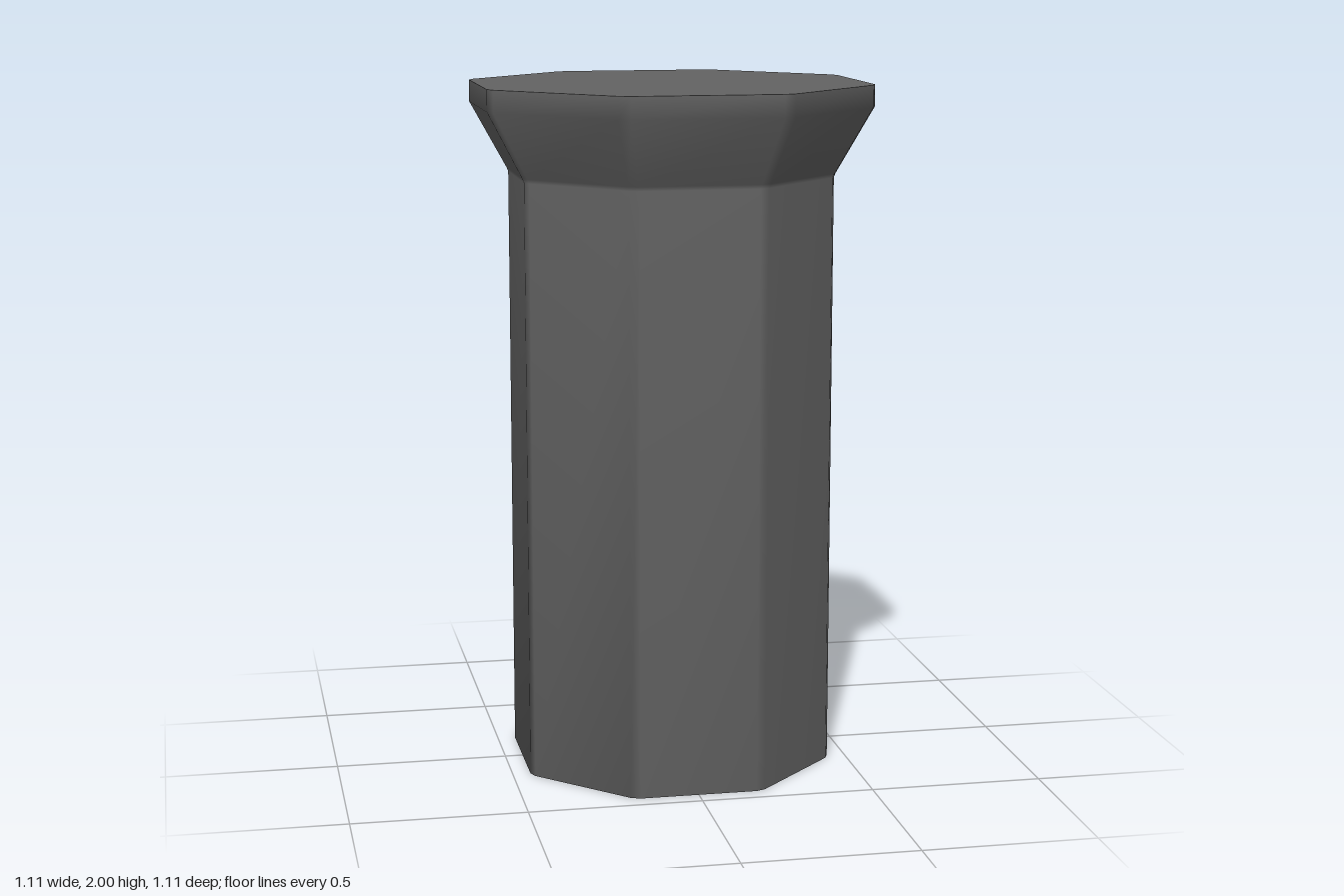
import * as THREE from 'three';

const SIDES = 8;
const HALF_FACET = 0.38; // half facet width per unit of apothem; the rest is the corner bevel

// Octagonal ring with bevelled corners, counter-clockwise from above
function ring(apothem, y) {
  const points = [];
  for (let k = 0; k < SIDES; k++) {
    const a = (k / SIDES) * Math.PI * 2;
    for (const t of [-HALF_FACET, HALF_FACET]) {
      const x = Math.cos(a) - t * Math.sin(a);
      const z = -(Math.sin(a) + t * Math.cos(a));
      points.push(x * apothem, y, z * apothem);
    }
  }
  return points;
}

// Skin a stack of [apothem, y] rings: smooth sides and base, sharp-edged flat top
function loft(profile) {
  const n = SIDES * 2;
  const positions = profile.flatMap(([r, y]) => ring(r, y));
  positions.push(...ring(...profile.at(-1))); // separate top ring keeps its edge sharp
  const index = [];
  for (let j = 0; j < profile.length - 1; j++) {
    for (let i = 0; i < n; i++) {
      const a = j * n + i;
      const b = j * n + ((i + 1) % n);
      index.push(a, b, b + n, a, b + n, a + n);
    }
  }
  const top = profile.length * n;
  for (let i = 1; i < n - 1; i++) {
    index.push(0, i + 1, i);
    index.push(top, top + i, top + i + 1);
  }
  const geometry = new THREE.BufferGeometry();
  geometry.setAttribute('position', new THREE.Float32BufferAttribute(positions, 3));
  geometry.setIndex(index);
  geometry.computeVertexNormals();
  return geometry;
}

export function createModel() {
  const group = new THREE.Group();
  group.name = 'octagonalPillar';
  const material = new THREE.MeshStandardMaterial({ color: 0x636363 });

  // Straight shaft flowing into a flared cap with a short upright rim
  const pillar = new THREE.Mesh(loft([
    [0.448, 0],
    [0.448, 1.735],
    [0.453, 1.747],
    [0.555, 1.937],
    [0.555, 2],
  ]), material);
  pillar.name = 'shaftAndFlaredCap';
  group.add(pillar);

  return group;
}
